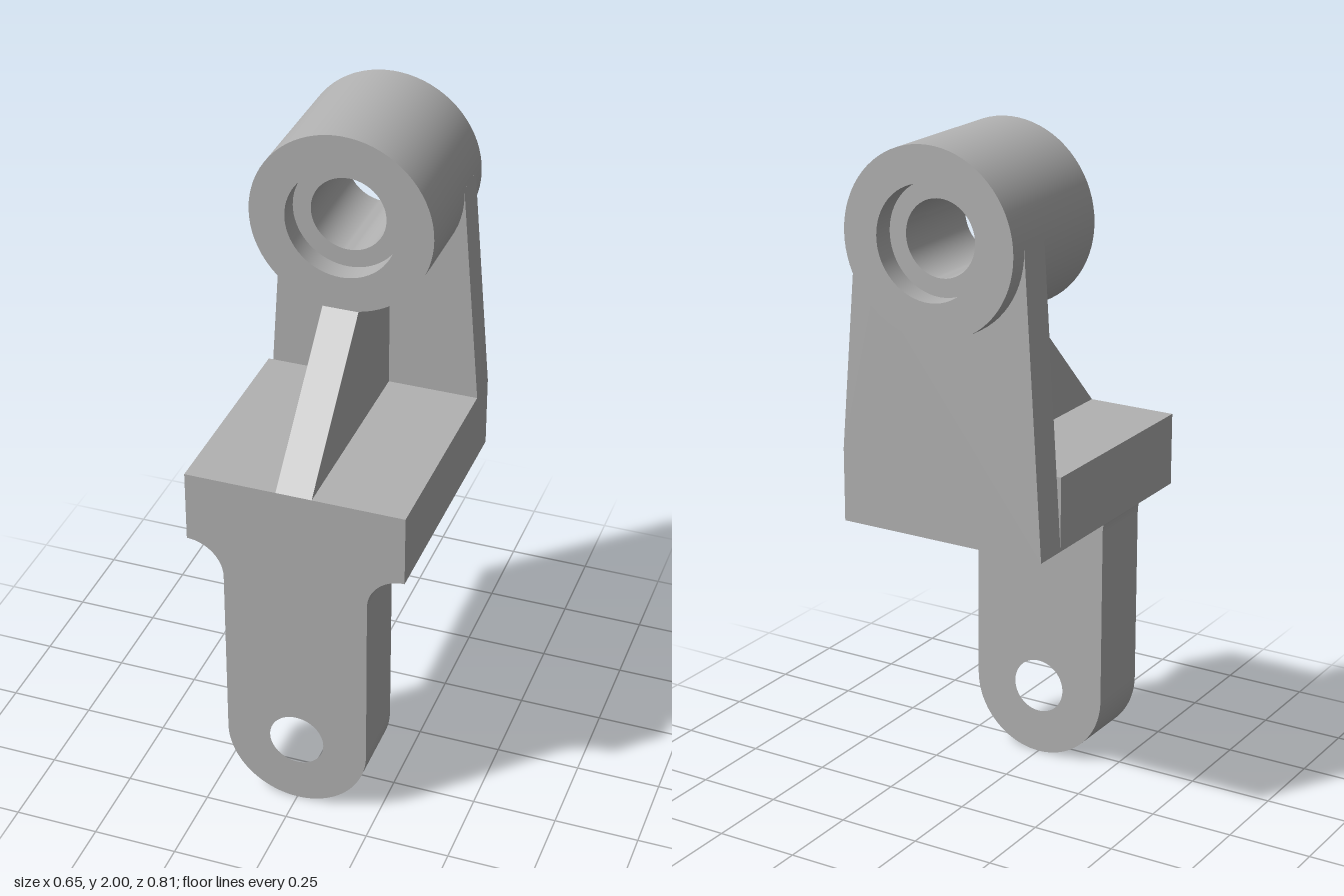
import * as THREE from 'three';
import { toCreasedNormals } from 'three/addons/utils/BufferGeometryUtils.js';

const CREASE = 0.5;

export function createModel() {
  const group = new THREE.Group();
  const metal = new THREE.MeshStandardMaterial({ color: 0xb2b2b2 });
  metal.name = 'grey metal';

  const add = (name, geometry) => {
    const mesh = new THREE.Mesh(geometry, metal);
    mesh.name = name;
    group.add(mesh);
    return mesh;
  };
  // Extrudes an x-y outline between two depths
  const slab = (shape, back, front) => {
    const geometry = new THREE.ExtrudeGeometry(shape, {
      depth: front - back, bevelEnabled: false, curveSegments: 32,
    });
    geometry.translate(0, 0, back);
    return toCreasedNormals(geometry, CREASE);
  };

  // Bearing barrel: through bore with a counterbore at each end
  const R = 0.268, barrelY = 1.732, front = 0.025, back = -0.405;
  const half = (front - back) / 2, bore = 0.11, counter = 0.163, depth = 0.065;
  const profile = [
    [R, -half], [R, half], [counter, half], [counter, half - depth],
    [bore, half - depth], [bore, -half + depth],
    [counter, -half + depth], [counter, -half], [R, -half],
  ].map(([x, y]) => new THREE.Vector2(x, y));
  const barrel = new THREE.LatheGeometry(profile, 72).toNonIndexed();
  barrel.rotateX(Math.PI / 2);
  barrel.translate(0, barrelY, (front + back) / 2);
  add('bearingBarrel', toCreasedNormals(barrel, CREASE));

  // Base block, in front of the upright plate
  const W = 0.324, baseLow = 0.866, baseTop = 1.083;
  const plateFront = -0.245, plateBack = -0.35, faceZ = 0.405;
  const block = new THREE.BoxGeometry(2 * W, baseTop - baseLow, faceZ - plateFront);
  block.translate(0, (baseTop + baseLow) / 2, (faceZ + plateFront) / 2);
  add('baseBlock', block);

  // Upright plate: sides run tangent to the barrel
  const dy = baseTop - barrelY;
  const t = Math.atan2(dy, W) + Math.acos(R / Math.hypot(W, dy));
  const tx = R * Math.cos(t), ty = barrelY + R * Math.sin(t);
  const plate = new THREE.Shape();
  plate.moveTo(-W, baseLow);
  plate.lineTo(W, baseLow);
  plate.lineTo(W, baseTop);
  plate.lineTo(tx, ty);
  plate.absarc(0, barrelY, R - 0.006, t, -Math.PI - t, true);
  plate.lineTo(-tx, ty);
  plate.closePath();
  add('uprightPlate', slab(plate, plateBack, plateFront));

  // Sloping rib, drawn in z-y and turned to face sideways
  const ribTop = barrelY - R + 0.004, ribW = 0.106;
  const rib = new THREE.Shape([
    [-faceZ, baseTop], [-plateFront, baseTop], [-plateFront, ribTop], [-front, ribTop],
  ].map(([x, y]) => new THREE.Vector2(x, y)));
  const ribGeometry = slab(rib, -ribW / 2, ribW / 2);
  ribGeometry.rotateY(Math.PI / 2);
  add('supportRib', ribGeometry);

  // Hanging lug: round end, pin hole, fillets under the block
  const L = 0.215, fillet = W - L;
  const lug = new THREE.Shape();
  lug.moveTo(W, baseLow);
  lug.absarc(W, baseLow - fillet, fillet, Math.PI / 2, Math.PI, false);
  lug.lineTo(L, L);
  lug.absarc(0, L, L, 0, -Math.PI, true);
  lug.lineTo(-L, baseLow - fillet);
  lug.absarc(-W, baseLow - fillet, fillet, 0, Math.PI / 2, false);
  lug.closePath();
  const pin = new THREE.Path();
  pin.absarc(0, 0.218, 0.083, 0, Math.PI * 2, true);
  lug.holes.push(pin);
  add('hangingLug', slab(lug, 0.19, faceZ));

  return group;
}
